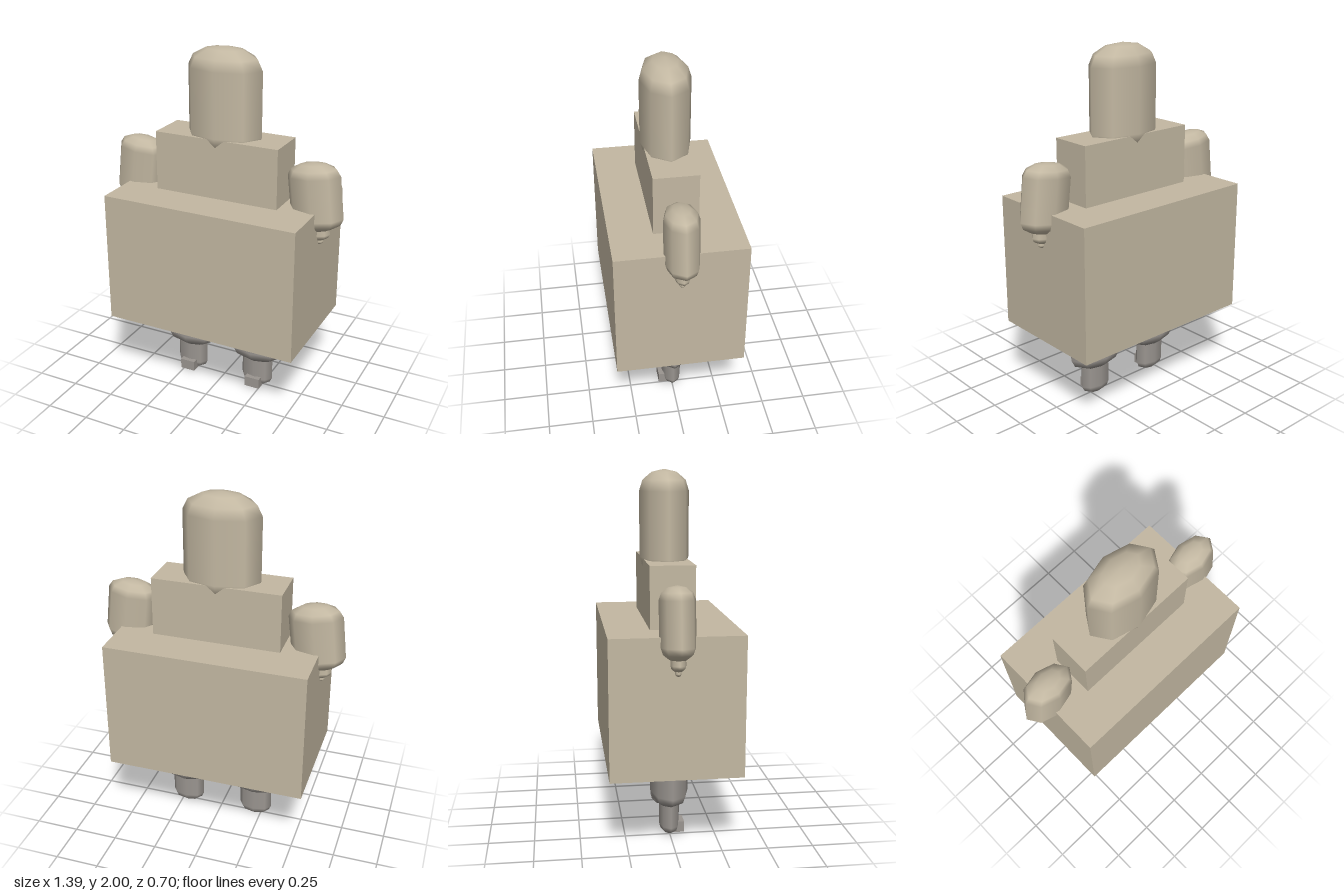
import * as THREE from 'three';

const sand = new THREE.MeshStandardMaterial({ color: 0xc3b8a2 });
sand.name = 'sand';
const stone = new THREE.MeshStandardMaterial({ color: 0x9a9590 });
stone.name = 'stone';

// Flattened eight-sided capsule; top and bottom are the ends of its straight wall
function capsule(name, material, x, top, bottom, rx, cap, rz) {
  const geometry = new THREE.CapsuleGeometry(1, (top - bottom) / cap, 3, 8);
  geometry.scale(rx, cap, rz);
  const mesh = new THREE.Mesh(geometry, material);
  mesh.name = name;
  mesh.position.set(x, (top + bottom) / 2, 0);
  return mesh;
}

function block(name, material, width, bottom, top, depth, x = 0, z = 0) {
  const mesh = new THREE.Mesh(new THREE.BoxGeometry(width, top - bottom, depth), material);
  mesh.name = name;
  mesh.position.set(x, (top + bottom) / 2, z);
  return mesh;
}

export function createModel() {
  const model = new THREE.Group();
  model.name = 'blockyFigure';

  // Head, chest and large lower body
  model.add(
    capsule('head', sand, 0, 1.885, 1.528, 0.218, 0.115, 0.136),
    block('chest', sand, 0.724, 1.1, 1.52, 0.24),
    block('lowerBody', sand, 1.128, 0.435, 1.187, 0.704),
  );

  for (const side of [1, -1]) {
    const label = side > 0 ? 'left' : 'right';

    // Arm, leaning outward towards the hand
    const arm = new THREE.Group();
    arm.name = label + 'Arm';
    arm.position.set(side * 0.52, 1.368, 0);
    arm.rotation.z = side * 0.113;
    arm.add(
      capsule('upperArm', sand, 0, 0, -0.235, 0.149, 0.073, 0.094),
      capsule('forearm', sand, 0, -0.25, -0.328, 0.067, 0.034, 0.042),
      capsule('hand', sand, 0, -0.345, -0.37, 0.027, 0.015, 0.017),
    );

    // Leg with a small block foot
    const leg = new THREE.Group();
    leg.name = label + 'Leg';
    leg.position.x = side * 0.215;
    leg.add(
      capsule('thigh', stone, 0, 0.5, 0.25, 0.17, 0.085, 0.105),
      capsule('shin', stone, 0, 0.22, 0.055, 0.096, 0.055, 0.056),
      block('foot', stone, 0.09, 0.012, 0.073, 0.105, 0, 0.027),
    );
    model.add(arm, leg);
  }
  return model;
}
